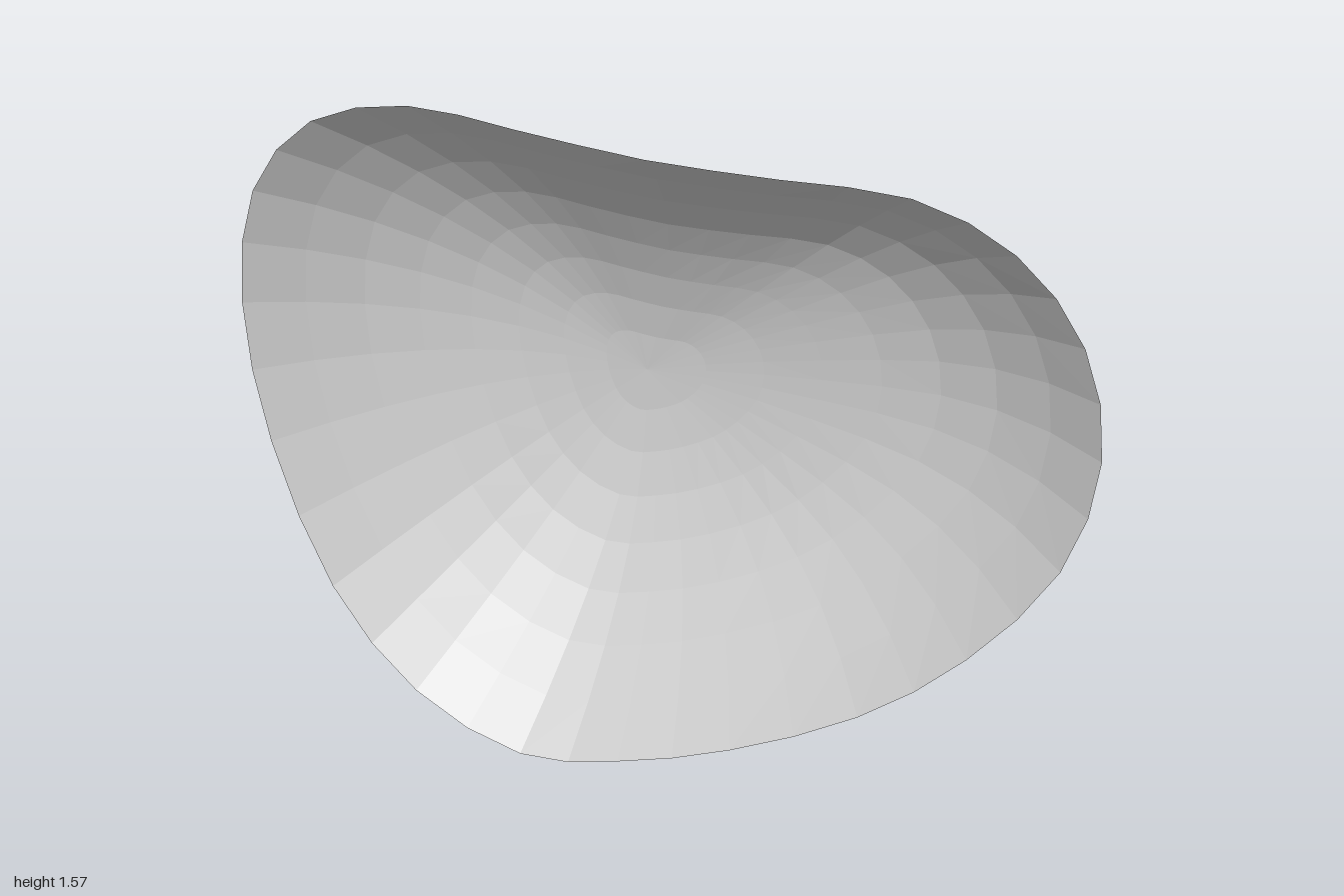
import * as THREE from 'three';
import { ParametricGeometry } from 'three/addons/geometries/ParametricGeometry.js';

// Rim outline (x, y), counter-clockwise from the lowest point
const RIM = [
  [-0.33, 0], [-0.08, 0.05], [0.2, 0.16], [0.5, 0.33], [0.74, 0.54],
  [0.93, 0.8], [1, 1.07], [0.95, 1.31], [0.8, 1.48], [0.58, 1.56],
  [0.3, 1.55], [0, 1.54], [-0.3, 1.555], [-0.55, 1.565], [-0.79, 1.49],
  [-0.95, 1.3], [-1, 1.02], [-0.95, 0.68], [-0.81, 0.33], [-0.6, 0.1],
];
const DEEPEST = new THREE.Vector3(-0.2, 0.83, 0);
const BACK_Z = -0.21, DEPTH = 0.42;

export function createModel() {
  const rim = new THREE.CatmullRomCurve3(
    RIM.map(([x, y]) => new THREE.Vector3(x, y, 0)), true, 'catmullrom', 0.5);

  // Concentric copies of the rim shrink toward the deepest point
  const surface = (u, v, target) => {
    const edge = rim.getPoint(u % 1);
    const angle = Math.atan2(edge.y - DEEPEST.y, edge.x - DEEPEST.x);
    // The wide end stays deep for longer, then climbs more steeply
    const wide = Math.max(0, Math.cos(angle - 0.2)) ** 3;
    const ramp = THREE.MathUtils.clamp((v - 0.33) / 0.34, 0, 1);
    const power = 2.15 + 0.7 * wide * ramp;
    target.lerpVectors(DEEPEST, edge, v);
    target.z = BACK_Z + DEPTH * v ** power;
  };

  const material = new THREE.MeshStandardMaterial({
    color: 0xcccccc, flatShading: true, side: THREE.DoubleSide,
  });
  const bowl = new THREE.Mesh(new ParametricGeometry(surface, 40, 8), material);
  bowl.name = 'bowlShell';

  const group = new THREE.Group();
  group.name = 'kidneyBowl';
  group.add(bowl);
  return group;
}
